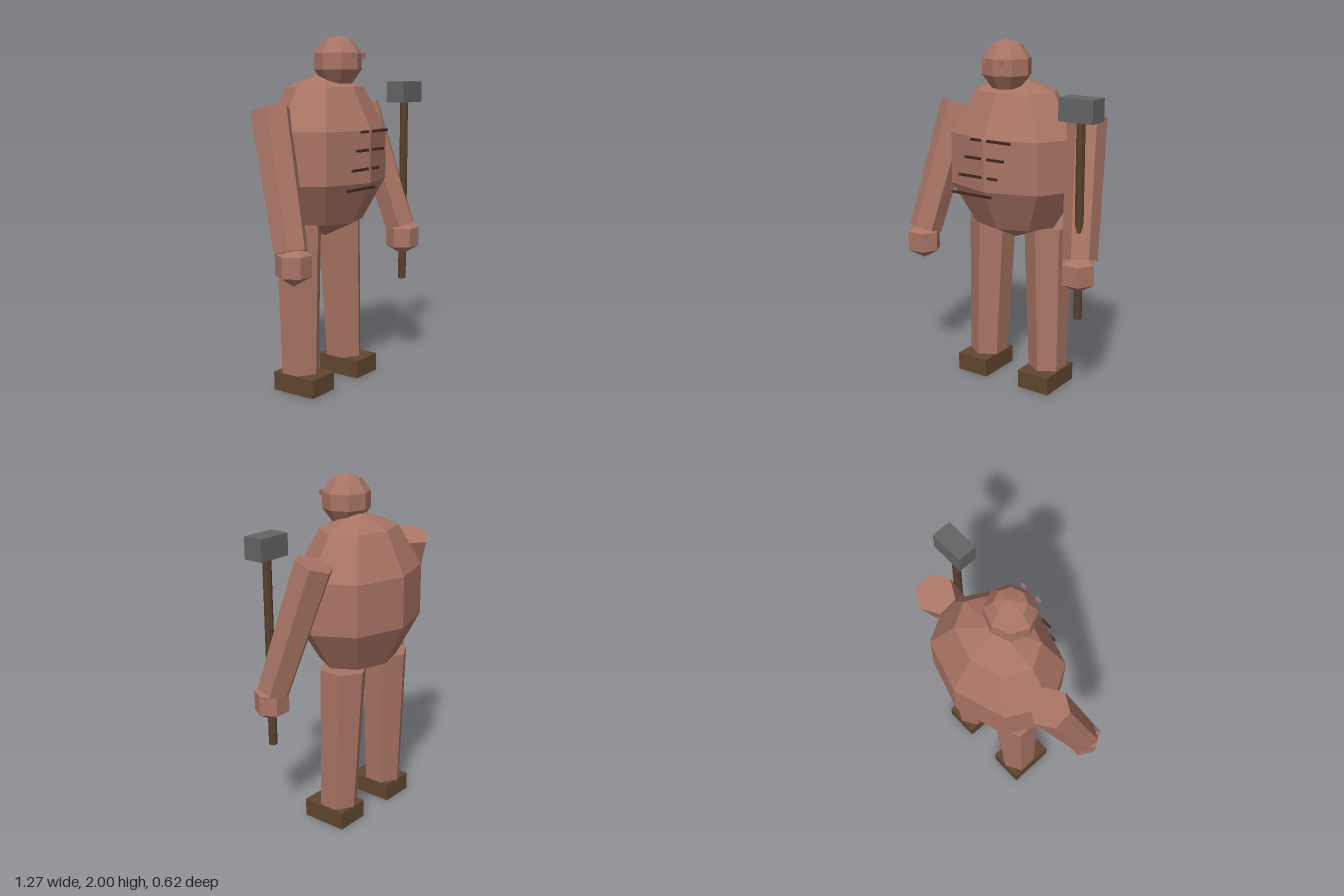
import * as THREE from 'three';

export function createModel() {
  const model = new THREE.Group();
  model.name = 'stoneGiant';

  const material = (name, color) => {
    const m = new THREE.MeshStandardMaterial({ color, flatShading: true });
    m.name = name;
    return m;
  };
  const skin = material('clay skin', 0xa87464);
  const leather = material('brown leather', 0x604630);
  const wood = material('dark wood', 0x58402c);
  const iron = material('grey iron', 0x646464);
  const rune = material('dark carving', 0x402822);

  const add = (name, geometry, mat, x, y, z) => {
    const mesh = new THREE.Mesh(geometry, mat);
    mesh.name = name;
    mesh.position.set(x, y, z);
    model.add(mesh);
    return mesh;
  };
  const box = (name, mat, w, h, d, x, y, z) =>
    add(name, new THREE.BoxGeometry(w, h, d), mat, x, y, z);
  // Faceted ellipsoid
  const ball = (name, rx, ry, rz, cols, rows, x, y, z) =>
    add(name, new THREE.SphereGeometry(1, cols, rows).scale(rx, ry, rz), skin, x, y, z);
  // Tapered hexagonal limb between two points
  const limb = (name, top, bottom, rTop, rBottom) => {
    const a = new THREE.Vector3(...top), b = new THREE.Vector3(...bottom);
    const axis = a.clone().sub(b);
    const mid = a.clone().add(b).multiplyScalar(0.5);
    const mesh = add(name, new THREE.CylinderGeometry(rTop, rBottom, axis.length(), 6),
      skin, mid.x, mid.y, mid.z);
    mesh.quaternion.setFromUnitVectors(new THREE.Vector3(0, 1, 0), axis.normalize());
  };

  const cx = -0.004; // body centreline

  // Body and head
  ball('torso', 0.431, 0.47, 0.326, 8, 5, cx, 1.335, 0);
  ball('head', 0.146, 0.145, 0.138, 8, 5, cx, 1.855, 0.087);

  // Paired parts
  for (const [side, s] of [['left', 1], ['right', -1]]) {
    const x = (v) => cx + s * v;
    box(side + 'Eye', skin, 0.03, 0.03, 0.008, x(0.053), 1.885, 0.223);
    limb(side + 'Arm', [x(0.431), 1.597, -0.045], [x(0.534), 0.868, 0.173], 0.111, 0.095);
    ball(side + 'Hand', 0.113, 0.113, 0.113, 6, 3, x(0.534), 0.802, 0.19);
    limb(side + 'Leg', [x(0.193), 0.952, -0.043], [x(0.213), 0.09, -0.018], 0.136, 0.111);
    box(side + 'Foot', leather, 0.204, 0.105, 0.275, x(0.217), 0.0525, 0.01);
  }

  // Carved marks across the chest: x start, x end, y
  const marks = [
    [-0.09, -0.022, 1.475], [0.016, 0.17, 1.475],
    [-0.132, -0.022, 1.374], [0.016, 0.128, 1.374],
    [-0.174, -0.022, 1.27], [0.016, 0.085, 1.27],
    [-0.22, 0.043, 1.165],
  ];
  marks.forEach(([x0, x1, y], i) =>
    box('chestMark' + (i + 1), rune, x1 - x0, 0.014, 0.0095, (x0 + x1) / 2, y, 0.306));

  // Long hammer held in the left hand
  add('hammerHandle', new THREE.CylinderGeometry(0.024, 0.024, 1.1, 8), wood, 0.531, 1.09, 0.19);
  box('hammerHead', iron, 0.203, 0.122, 0.117, 0.531, 1.678, 0.19);

  return model;
}
